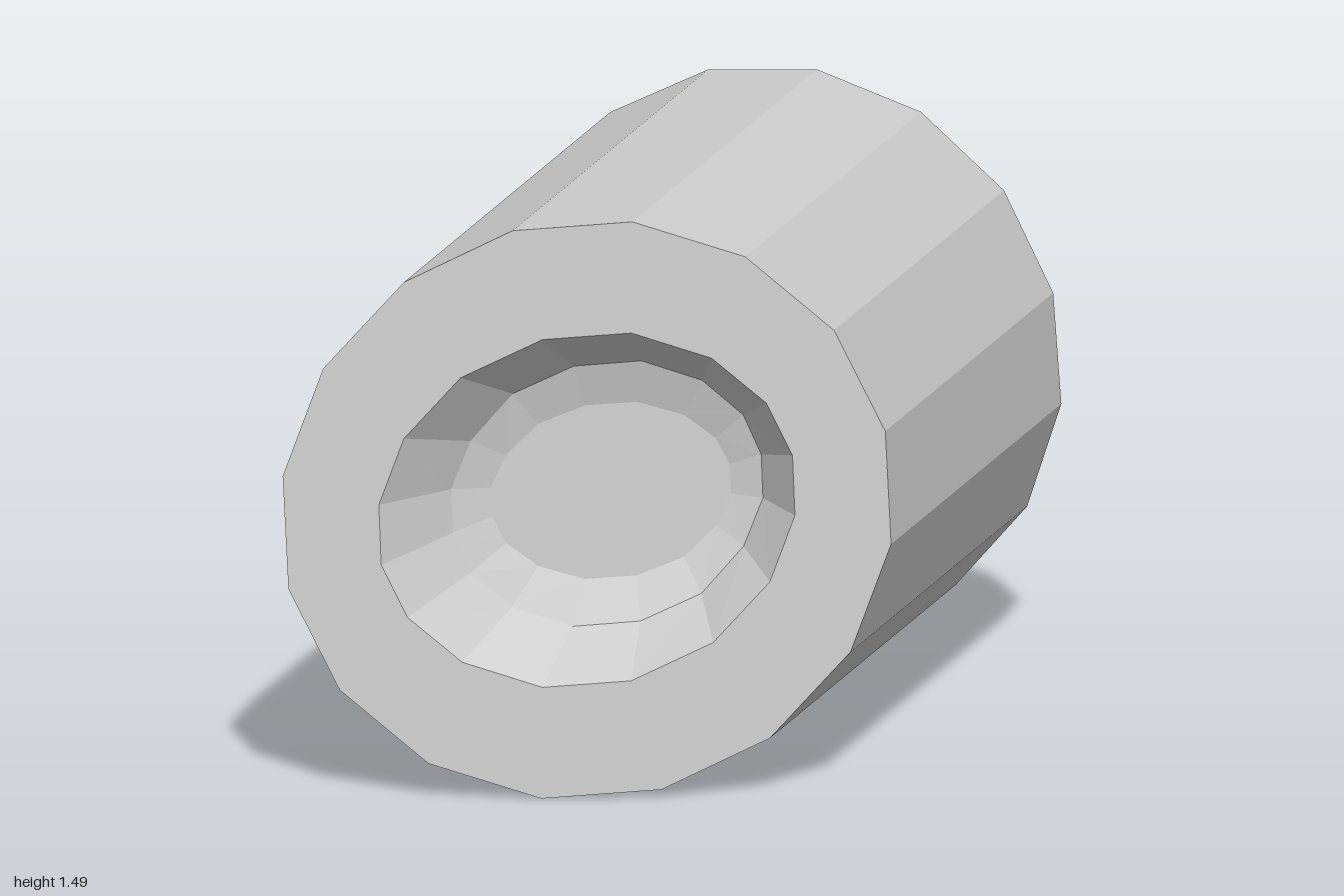
import * as THREE from 'three';

const SIDES = 16, RADIUS = 0.753, CENTRE_Y = 0.75;

// Height of the slanted front plane, y measured from the axis
const slant = (x, y) => 0.75 - 0.32 * x - 0.095 * y;

// Completes a half ring by point symmetry about the axis
const mirrorRing = half =>
  [...half, ...half.map(([x, y]) => [-x, -y])].map(([x, y]) => new THREE.Vector2(x, y));

// Lifts a flat ring onto the slanted plane, sunk by depth
const onSlant = (ring, depth) =>
  ring.map(p => new THREE.Vector3(p.x, p.y, slant(p.x, p.y) - depth));

// Band of quads joining two rings
function band(a, b) {
  const pos = [];
  for (let i = 0; i < a.length; i++) {
    const j = (i + 1) % a.length;
    for (const p of [a[i], b[i], a[j], a[j], b[i], b[j]]) pos.push(p.x, p.y, p.z);
  }
  const geo = new THREE.BufferGeometry();
  geo.setAttribute('position', new THREE.Float32BufferAttribute(pos, 3));
  geo.computeVertexNormals();
  return geo;
}

// Flat shape (with optional hole) moved onto the slanted plane
function slantedFace(ring, depth, hole) {
  const shape = new THREE.Shape(ring);
  if (hole) shape.holes.push(new THREE.Path(hole));
  const geo = new THREE.ShapeGeometry(shape);
  const p = geo.attributes.position;
  for (let i = 0; i < p.count; i++) p.setZ(i, slant(p.getX(i), p.getY(i)) - depth);
  geo.computeVertexNormals();
  return geo;
}

export function createModel() {
  const group = new THREE.Group();
  group.name = 'slantedHollowCylinder';
  const material = new THREE.MeshStandardMaterial({ color: 0xcccccc, flatShading: true });
  const add = (name, geo) => {
    const mesh = new THREE.Mesh(geo, material);
    mesh.name = name;
    mesh.position.y = CENTRE_Y;
    group.add(mesh);
  };

  // Rings, counter-clockwise from the front
  const outer = Array.from({ length: SIDES }, (_, i) => {
    const a = THREE.MathUtils.degToRad(-7 + i * 360 / SIDES);
    return new THREE.Vector2(RADIUS * Math.cos(a), RADIUS * Math.sin(a));
  });
  const rim = mirrorRing([[0.51, -0.016], [0.5, 0.14], [0.432, 0.276], [0.295, 0.393],
    [0.097, 0.459], [-0.12, 0.443], [-0.318, 0.345], [-0.453, 0.188]]);
  const ledge = mirrorRing([[0.382, -0.013], [0.375, 0.1], [0.328, 0.203], [0.225, 0.293],
    [0.075, 0.344], [-0.09, 0.331], [-0.238, 0.26], [-0.338, 0.138]]);
  const floor = ledge.map(p => new THREE.Vector2(p.x * 0.77, p.y * 0.667));

  // Body
  const back = outer.map(p => new THREE.Vector3(p.x, p.y, -1));
  add('bodyWall', band(onSlant(outer, 0), back));
  const cap = new THREE.ShapeGeometry(new THREE.Shape(outer));
  cap.rotateY(Math.PI).scale(-1, 1, 1);
  cap.setIndex(Array.from(cap.index.array).reverse());
  cap.translate(0, 0, -1);
  cap.computeVertexNormals();
  add('backCap', cap);
  add('frontFace', slantedFace(outer, 0, rim));

  // Recess: steep wall, shallow bevel, flat floor
  add('recessWall', band(onSlant(ledge, 0.18), onSlant(rim, 0)));
  add('recessBevel', band(onSlant(floor, 0.215), onSlant(ledge, 0.18)));
  add('recessFloor', slantedFace(floor, 0.215));
  return group;
}
